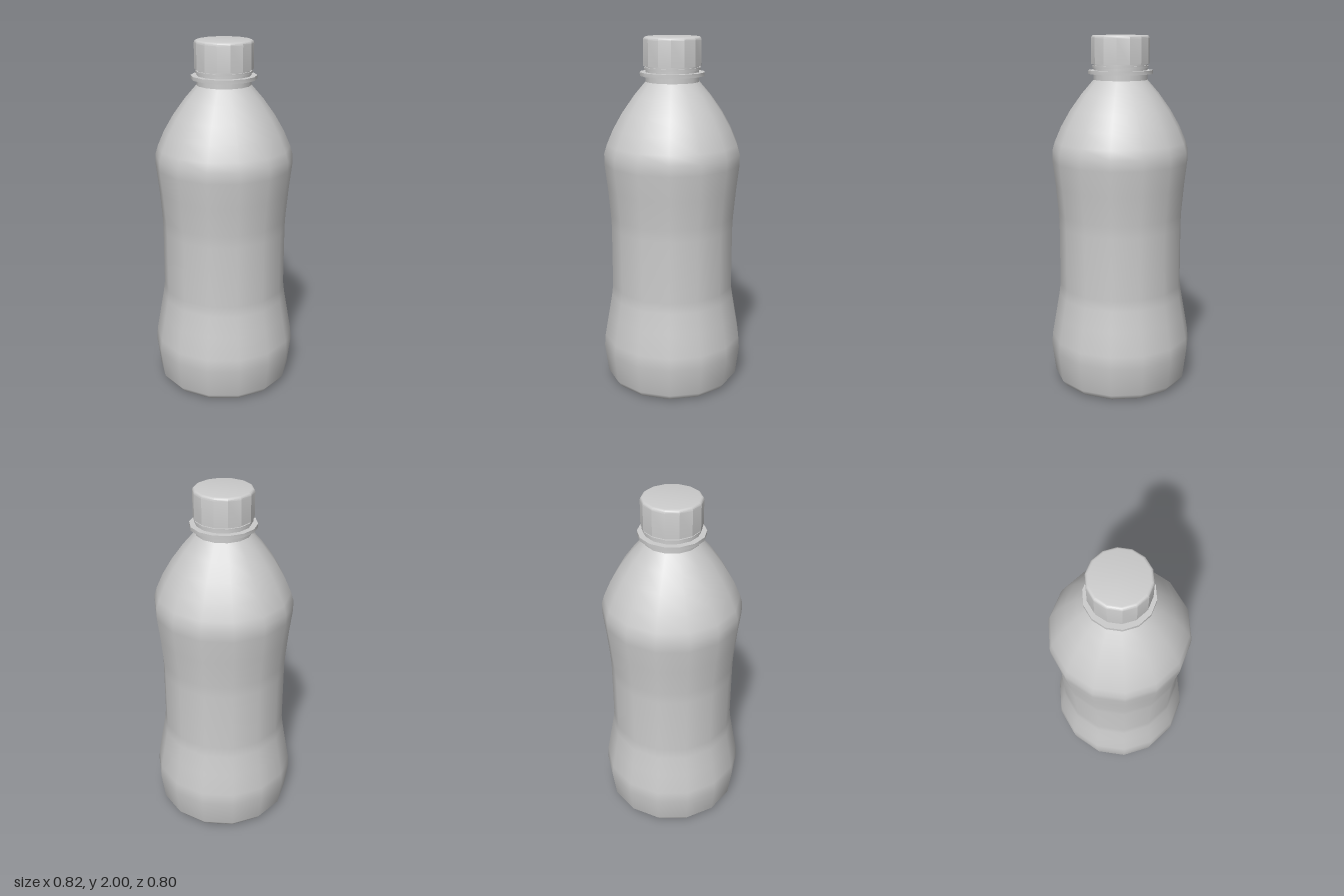
import * as THREE from 'three';
import { toCreasedNormals } from 'three/addons/utils/BufferGeometryUtils.js';

const SIDES = 14;

export function createModel() {
  const group = new THREE.Group();
  const material = new THREE.MeshStandardMaterial({ color: 0xcccccc });

  // Turned part from [radius, height] pairs, bottom to top; crease (radians) keeps edges sharp
  function turned(name, profile, crease) {
    const points = profile.map(([r, y]) => new THREE.Vector2(r, y));
    let geometry = new THREE.LatheGeometry(points, SIDES, Math.PI / 2);
    if (crease) geometry = toCreasedNormals(geometry, crease);
    const mesh = new THREE.Mesh(geometry, material);
    mesh.name = name;
    group.add(mesh);
  }

  // Flat underside
  turned('base', [[0, 0], [0.34, 0]]);

  // Chamfered foot, pinched grip and rounded shoulder
  turned('body', [
    [0.34, 0], [0.363, 0.012], [0.388, 0.045], [0.409, 0.21], [0.403, 0.28],
    [0.38, 0.41], [0.359, 0.53], [0.352, 0.59], [0.351, 0.94], [0.354, 1.01],
    [0.368, 1.17], [0.384, 1.31], [0.384, 1.37], [0.369, 1.42], [0.332, 1.505],
    [0.28, 1.595], [0.215, 1.685], [0.15, 1.76],
  ]);

  // Neck with its carrying flange and the band below the cap
  turned('neck', [[0.15, 1.755], [0.148, 1.85]]);
  turned('neckFlange', [[0.145, 1.792], [0.18, 1.792], [0.18, 1.812], [0.145, 1.812]], 0.6);
  turned('sealBand', [[0.14, 1.825], [0.156, 1.825], [0.156, 1.838], [0.14, 1.838]], 0.6);

  // Faceted cap with a rounded top edge
  const cap = [[0.14, 1.846], [0.161, 1.846]];
  const bevel = 0.017;
  for (let i = 0; i <= 4; i++) {
    const a = (i / 4) * Math.PI / 2;
    cap.push([0.161 - bevel + bevel * Math.cos(a), 2 - bevel + bevel * Math.sin(a)]);
  }
  cap.push([0, 2]);
  turned('cap', cap, 0.42);

  return group;
}
